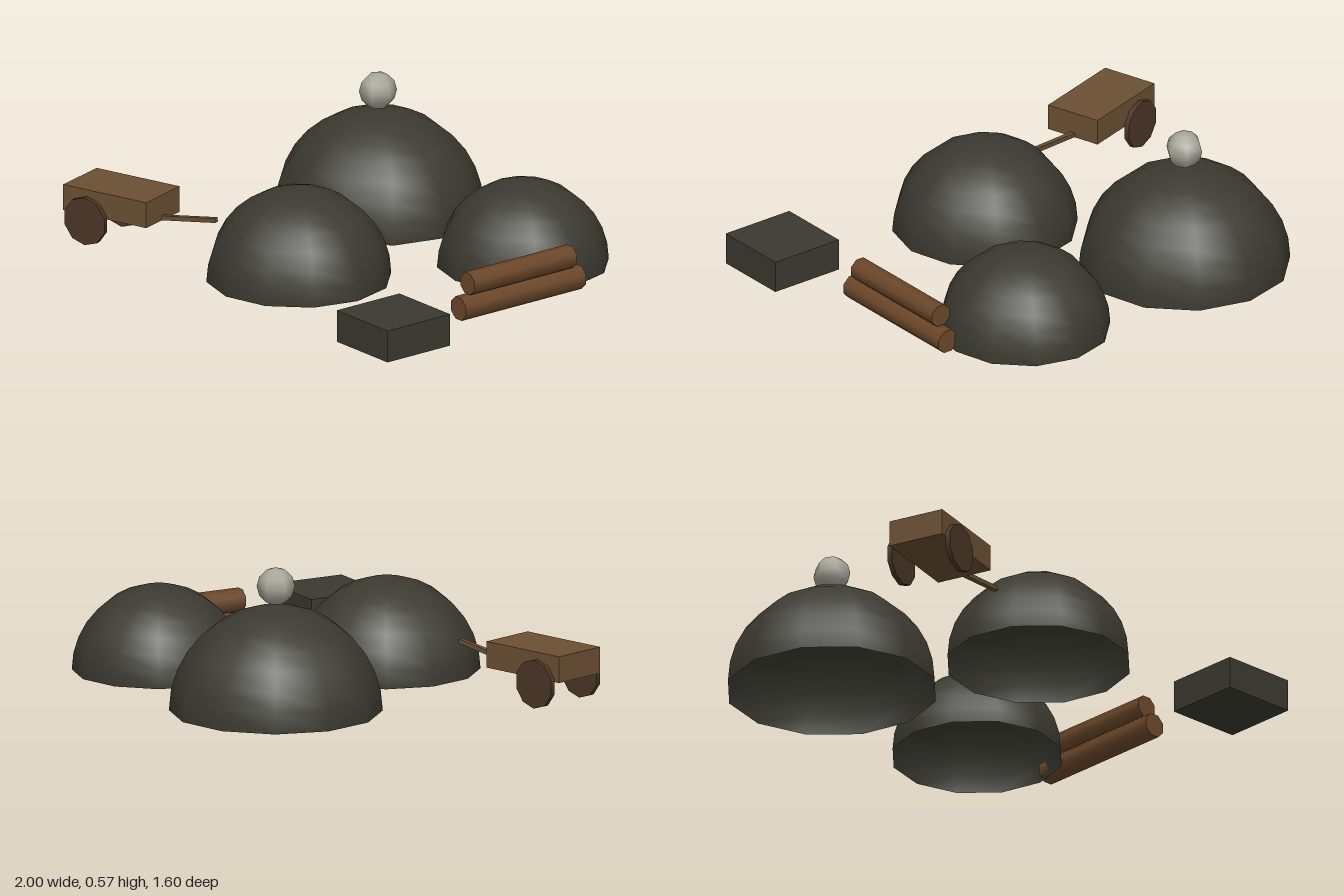
import * as THREE from 'three';

const mat = (name, color, side = THREE.FrontSide) => {
  const m = new THREE.MeshStandardMaterial({ color, side });
  m.name = name;
  return m;
};

export function createModel() {
  const model = new THREE.Group();
  model.name = 'camp';

  const darkCloth = mat('darkCloth', 0x3a3a31, THREE.DoubleSide);
  const cartWood = mat('cartWood', 0x6b4f32);
  const logWood = mat('logWood', 0x6b4729);
  const wheelWood = mat('wheelWood', 0x4a3526);
  const paleSmoke = mat('paleSmoke', 0xa6a69a);

  const add = (parent, name, geometry, material, x, y, z) => {
    const mesh = new THREE.Mesh(geometry, material);
    mesh.name = name;
    mesh.position.set(x, y, z);
    parent.add(mesh);
    return mesh;
  };

  // Open-bottomed domed huts, each with a vent hidden under the crown
  const huts = [[-0.415, -0.385, 0.418], [0.42, -0.437, 0.34], [0, 0.35, 0.366]];
  for (const [x, z, r] of huts) {
    const hut = new THREE.Group();
    hut.name = 'hut';
    hut.position.set(x, 0, z);
    model.add(hut);
    add(hut, 'dome', new THREE.SphereGeometry(r, 12, 8, 0, Math.PI * 2, 0, Math.PI / 2), darkCloth, 0, 0, 0);
    add(hut, 'vent', new THREE.CylinderGeometry(r * 0.3, r * 0.3, r * 0.2, 12), darkCloth, 0, r * 0.75, 0);
  }

  // Puff of smoke above the largest hut
  add(model, 'smokePuff', new THREE.SphereGeometry(0.075, 6, 6), paleSmoke, -0.415, 0.498, -0.385);

  // Two stacked logs
  const logs = [[0.05, 0.605, 0.047], [0.047, 0.515, 0.141]];
  for (const [r, length, y] of logs) {
    const geometry = new THREE.CylinderGeometry(r, r, length, 8);
    geometry.rotateY(Math.PI / 8).rotateX(Math.PI / 2);
    add(model, 'log', geometry, logWood, 0.786, y, -0.119);
  }

  // Low storage block
  add(model, 'storageBlock', new THREE.BoxGeometry(0.315, 0.13, 0.315), darkCloth, 0.843, 0.065, 0.557);

  // Handcart with two wheels and a raised pull shaft
  const cart = new THREE.Group();
  cart.name = 'cart';
  cart.position.set(-0.78, 0, 0.61);
  cart.rotation.y = 0.3;
  model.add(cart);
  add(cart, 'cartBody', new THREE.BoxGeometry(0.39, 0.105, 0.235), cartWood, 0, 0.172, 0);
  for (const side of [-1, 1]) {
    const geometry = new THREE.CylinderGeometry(0.098, 0.098, 0.02, 10).rotateX(Math.PI / 2);
    add(cart, 'wheel', geometry, wheelWood, -0.08, 0.1, side * 0.13);
  }
  const shaft = add(cart, 'shaft', new THREE.BoxGeometry(0.265, 0.018, 0.02), cartWood, 0.315, 0.148, 0);
  shaft.rotation.z = 0.15;

  return model;
}
